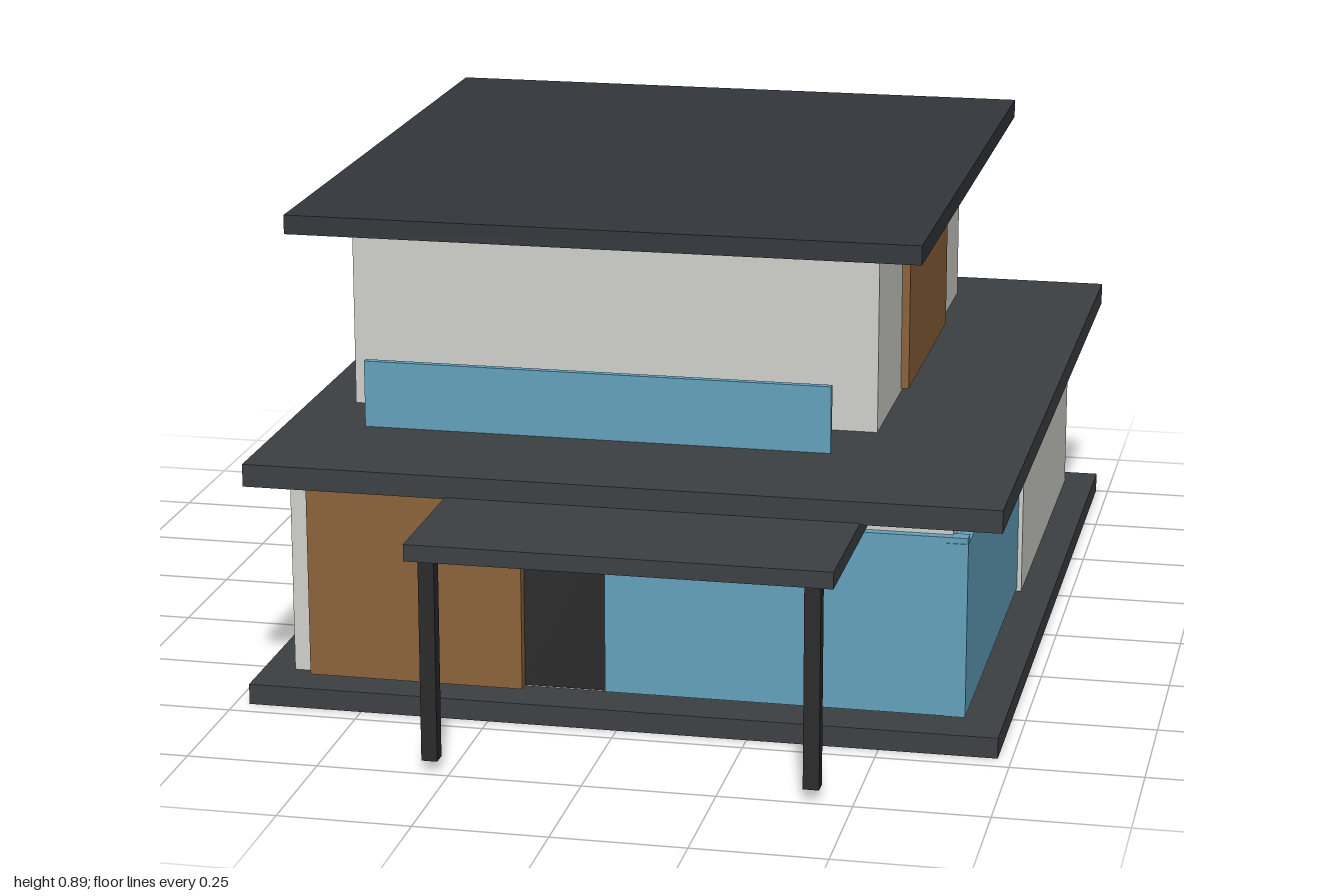
import * as THREE from 'three';

const mat = (color) => new THREE.MeshStandardMaterial({ color });

export function createModel() {
  const house = new THREE.Group();
  house.name = 'house';
  const wall = mat(0xd0d0cb), slab = mat(0x3d4043), roof = mat(0x33373b);
  const wood = mat(0x8c6239), glass = mat(0x63a2bd), dark = mat(0x2a2a2a);

  // Box given by its extents along each axis
  const block = (name, material, [x0, x1], [y0, y1], [z0, z1]) => {
    const mesh = new THREE.Mesh(new THREE.BoxGeometry(x1 - x0, y1 - y0, z1 - z0), material);
    mesh.position.set((x0 + x1) / 2, (y0 + y1) / 2, (z0 + z1) / 2);
    mesh.name = name;
    house.add(mesh);
  };

  // Floor slabs and roof
  block('baseSlab', slab, [-0.722, 0.724], [0, 0.04], [-1, 0.71]);
  block('upperFloorSlab', slab, [-0.722, 0.724], [0.437, 0.481], [-1, 0.71]);
  block('roofSlab', roof, [-0.728, 0.521], [0.852, 0.89], [-0.995, 0.39]);

  // Ground floor walls, with the front left corner notched for the glazing
  const plan = new THREE.Shape();
  [[-0.66, -0.61], [0.62, -0.61], [0.62, 0.145], [0.66, 0.145], [0.66, 0.932], [-0.66, 0.932]]
    .forEach(([x, y], i) => (i ? plan.lineTo(x, y) : plan.moveTo(x, y)));
  const lower = new THREE.Mesh(
    new THREE.ExtrudeGeometry(plan, { depth: 0.397, bevelEnabled: false }), wall);
  lower.rotation.x = -Math.PI / 2;
  lower.position.y = 0.04;
  lower.name = 'groundFloorWalls';
  house.add(lower);

  // Ground floor facade
  block('cornerFrontGlass', glass, [-0.04, 0.65], [0.046, 0.397], [0.6, 0.628]);
  block('cornerSideGlass', glass, [0.61, 0.651], [0.046, 0.386], [-0.145, 0.63]);
  block('frontDoor', dark, [-0.2, -0.04], [0.046, 0.356], [0.6, 0.622]);
  block('frontWoodCladding', wood, [-0.618, -0.198], [0.046, 0.437], [0.605, 0.647]);

  // Upper floor
  block('upperFloorWalls', wall, [-0.63, 0.42], [0.481, 0.852], [-0.857, 0.257]);
  block('sideWoodCladding', wood, [0.415, 0.436], [0.488, 0.83], [-0.565, -0.04]);
  block('balconyGlass', glass, [-0.565, 0.355], [0.481, 0.613], [0.402, 0.416]);

  // Entrance canopy on two posts
  block('canopy', slab, [-0.327, 0.461], [0.408, 0.44], [0.608, 1]);
  for (const x of [-0.288, 0.422]) {
    block('canopyPost', dark, [x - 0.015, x + 0.015], [0.022, 0.408], [0.96, 0.99]);
  }
  return house;
}
